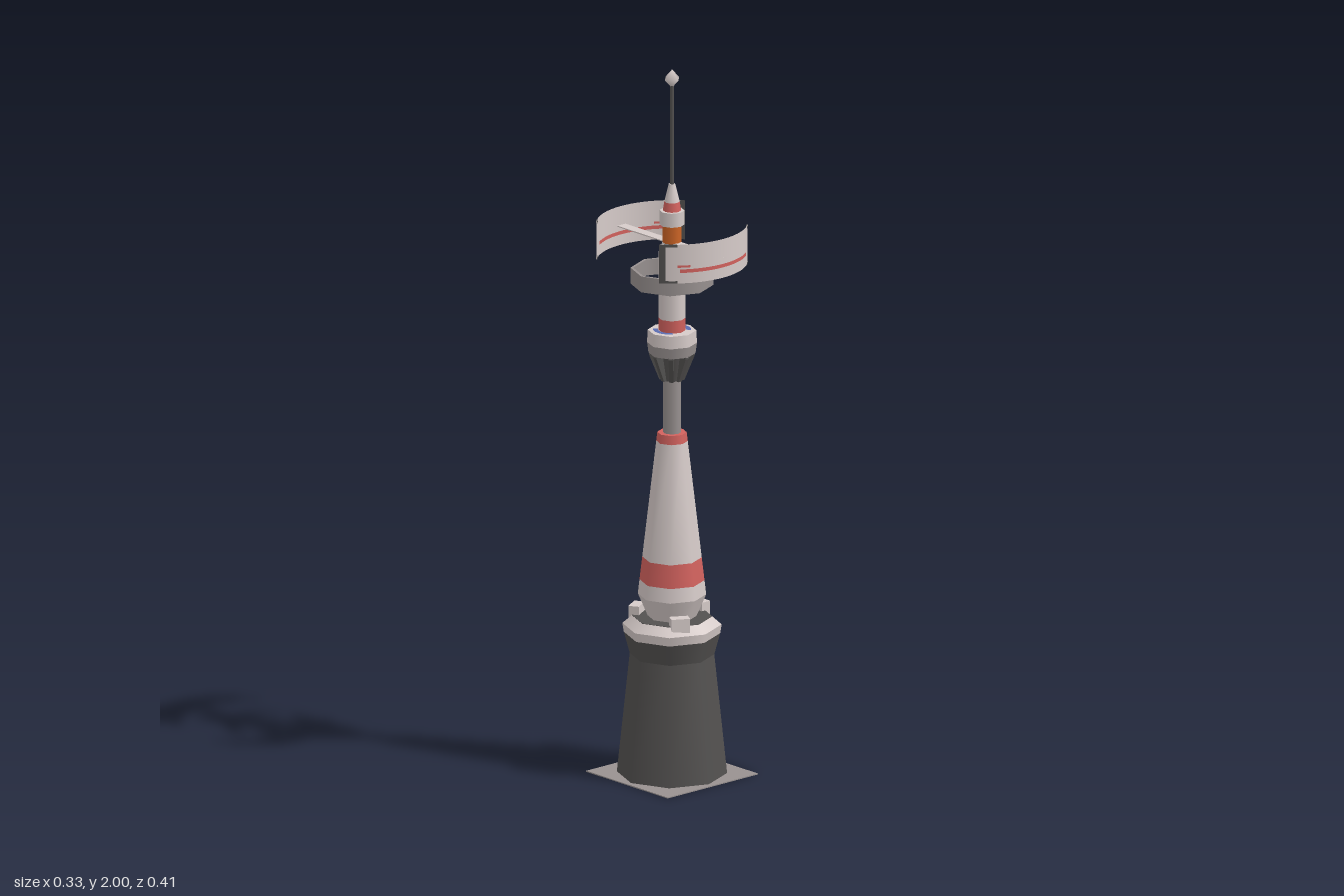
import * as THREE from 'three';

const flat = (color, name, side = THREE.FrontSide) => {
  const m = new THREE.MeshStandardMaterial({ color, side });
  m.name = name;
  return m;
};
const DEG = Math.PI / 180;

export function createModel() {
  const root = new THREE.Group();
  root.name = 'antennaTower';
  const light = flat(0xd6cbc9, 'light panel', THREE.DoubleSide);
  const dark = flat(0x535150, 'dark metal', THREE.DoubleSide);
  const grey = flat(0x989190, 'grey metal', THREE.DoubleSide);
  const red = flat(0xd2625e, 'faded red', THREE.DoubleSide);
  const orange = flat(0xcc6426, 'orange', THREE.DoubleSide);
  const blue = flat(0x5a6cb0, 'blue', THREE.DoubleSide);

  const add = (name, geometry, material, parent = root) => {
    const mesh = new THREE.Mesh(geometry, material);
    mesh.name = name;
    parent.add(mesh);
    return mesh;
  };

  // One eight-sided section of the mast, from y0 to y1
  const section = (name, material, y0, y1, r0, r1 = r0, sides = 8) => {
    const mesh = add(name, new THREE.CylinderGeometry(r1, r0, y1 - y0, sides), material);
    mesh.position.y = (y0 + y1) / 2;
    return mesh;
  };

  // Square ground plate
  add('groundPlate', new THREE.BoxGeometry(0.33, 0.003, 0.33), grey).position.y = 0.0015;

  // Pedestal and its light rim
  section('pedestal', dark, 0.002, 0.34, 0.15, 0.115);
  section('pedestalFlare', dark, 0.34, 0.4, 0.115, 0.131);
  section('pedestalRim', light, 0.4, 0.425, 0.131, 0.135);
  section('pedestalChamfer', light, 0.425, 0.447, 0.135, 0.11);
  section('pedestalDeck', dark, 0.445, 0.448, 0.109);

  // Three blocks spaced around the deck
  for (let i = 0; i < 3; i++) {
    const pivot = new THREE.Group();
    pivot.name = 'deckBlock' + (i + 1);
    pivot.rotation.y = i * 120 * DEG;
    root.add(pivot);
    add('block', new THREE.BoxGeometry(0.03, 0.04, 0.052), light, pivot).position.set(0.101, 0.452, 0);
  }

  // Tapered body with two red bands
  const taper = y => 0.093 + (0.04 - 0.093) * (y - 0.51) / 0.46;
  section('bodyFoot', light, 0.447, 0.51, 0.066, 0.093);
  const cuts = [0.51, 0.55, 0.615, 0.945, 0.97];
  for (let i = 0; i < 4; i++) {
    section(i % 2 ? 'bodyRedBand' : 'bodyCone', i % 2 ? red : light,
      cuts[i], cuts[i + 1], taper(cuts[i]), taper(cuts[i + 1]));
  }

  // Shaft and flared collar with fins
  section('shaft', grey, 0.97, 1.13, 0.025);
  section('collarCore', dark, 1.12, 1.2, 0.028, 0.042);
  const finShape = new THREE.Shape([
    new THREE.Vector2(0.02, 1.12), new THREE.Vector2(0.034, 1.12),
    new THREE.Vector2(0.062, 1.19), new THREE.Vector2(0.062, 1.2), new THREE.Vector2(0.02, 1.2),
  ]);
  const finGeometry = new THREE.ExtrudeGeometry(finShape, { depth: 0.012, bevelEnabled: false });
  finGeometry.translate(0, 0, -0.006);
  for (let i = 0; i < 8; i++) {
    add('collarFin', finGeometry, dark).rotation.y = i * 45 * DEG;
  }
  section('cabinLower', grey, 1.195, 1.225, 0.064, 0.068);
  section('cabinUpper', light, 1.225, 1.26, 0.068, 0.066);

  // Blue arcs on the cabin roof
  for (const start of [-50, 130]) {
    const arc = add('roofArc', new THREE.RingGeometry(0.038, 0.052, 6, 1, start * DEG, 100 * DEG), blue);
    arc.rotation.x = -Math.PI / 2;
    arc.position.y = 1.262;
  }

  // Upper column
  section('columnRedBand', red, 1.26, 1.295, 0.037);
  section('column', light, 1.295, 1.48, 0.037);
  section('columnShoulder', light, 1.48, 1.51, 0.037, 0.026);
  section('orangeNeck', orange, 1.51, 1.56, 0.026);
  section('upperCollar', light, 1.56, 1.6, 0.034);
  section('tipRedBand', red, 1.6, 1.625, 0.025, 0.021);
  section('tipCone', light, 1.625, 1.675, 0.021, 0.009);
  section('antennaRod', dark, 1.67, 1.955, 0.006, 0.005, 6);
  add('antennaBall', new THREE.SphereGeometry(0.026, 4, 2), light).position.y = 1.974;

  // Hollow ring around the column
  const ringProfile = [[0.105, 1.39], [0.113, 1.39], [0.113, 1.435], [0.105, 1.435], [0.105, 1.39]];
  for (let i = 0; i < 4; i++) {
    const pair = [ringProfile[i], ringProfile[i + 1]].map(p => new THREE.Vector2(...p));
    add('hollowRing', new THREE.LatheGeometry(pair, 8), grey);
  }

  // Curved reflectors, front and back, each on a flat arm
  const patch = (name, material, parent, a0, a1, y0, y1, r) => {
    const n = Math.max(1, Math.round((a1 - a0) / 2));
    const g = new THREE.CylinderGeometry(r, r, y1 - y0, n, 1, true, a0 * DEG, (a1 - a0) * DEG);
    add(name, g, material, parent).position.y = (y0 + y1) / 2;
  };
  for (const turn of [0, Math.PI]) {
    const side = new THREE.Group();
    side.name = turn ? 'backReflector' : 'frontReflector';
    side.rotation.y = turn;
    root.add(side);
    patch('panel', light, side, -52, 52, 1.455, 1.565, 0.205);
    for (const r of [0.2035, 0.2065]) {
      patch('panelStripe', red, side, -36, 34, 1.485, 1.495, r);
      patch('panelDash', red, side, -38, -28, 1.5, 1.506, r);
      for (const s of [-1, 1]) {
        const span = (a, b) => (s < 0 ? [-b, -a] : [a, b]);
        patch('panelEnd', dark, side, ...span(47, 52), 1.455, 1.565, r);
        patch('panelEdgeTop', dark, side, ...span(38, 47), 1.558, 1.565, r);
        patch('panelEdgeBottom', dark, side, ...span(38, 47), 1.455, 1.462, r);
      }
    }
    add('arm', new THREE.BoxGeometry(0.029, 0.003, 0.19), light, side).position.set(0, 1.51, 0.11);
  }
  return root;
}
